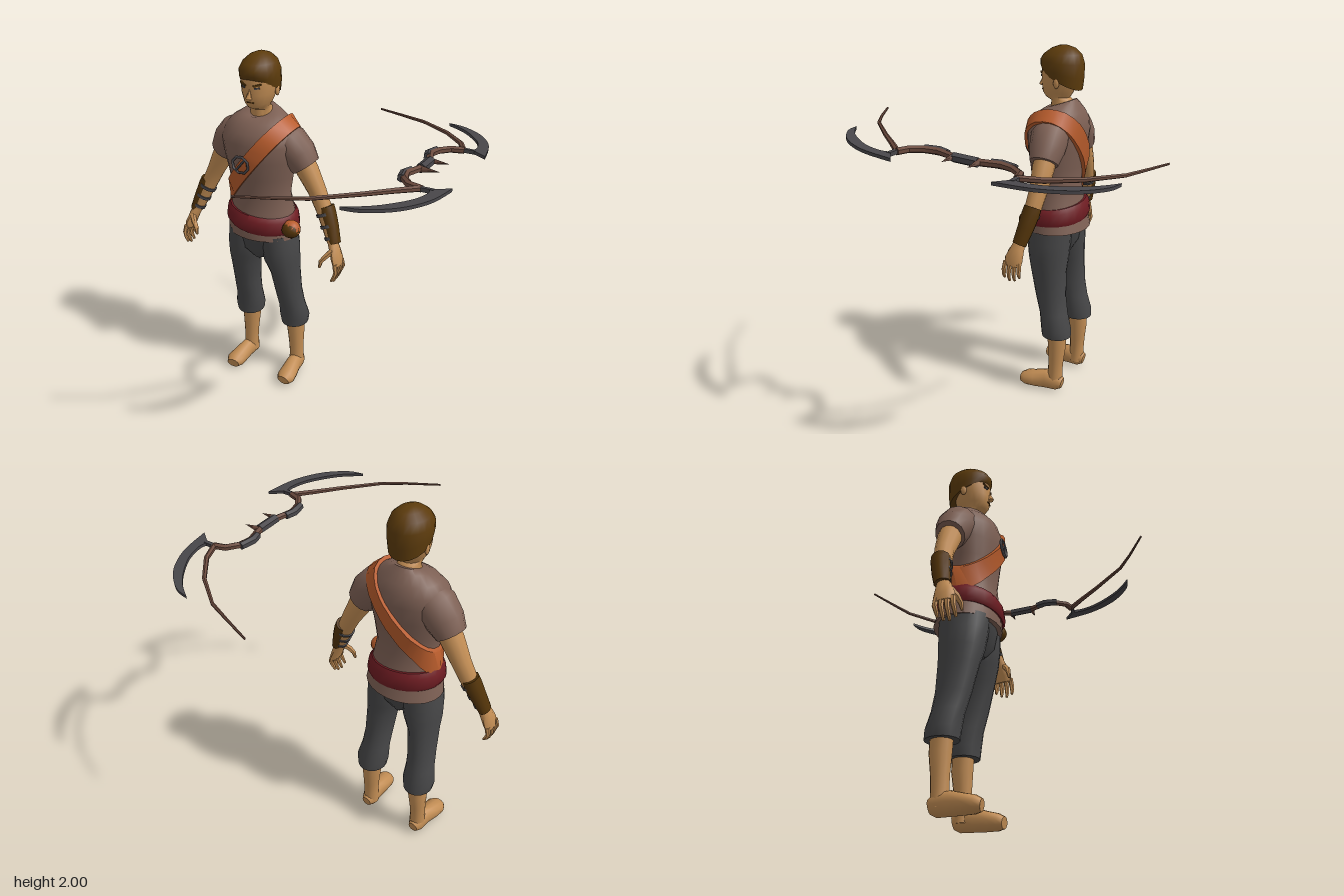
import * as THREE from 'three';
import { toCreasedNormals } from 'three/addons/utils/BufferGeometryUtils.js';

const mat = (name, color) => Object.assign(new THREE.MeshStandardMaterial({ color }), { name });
const M = {
  skin: mat('skin', 0xc28d54), hair: mat('hair brown', 0x5c3b0c), shirt: mat('shirt brown', 0x7d6054),
  strap: mat('orange leather', 0xb85c2c), sash: mat('sash red', 0x6e1c22), cloth: mat('trouser grey', 0x474748),
  leather: mat('dark leather', 0x533409), metal: mat('dark metal', 0x48464a), wood: mat('bow wood', 0x6b4a3d),
};
const V = (x, y, z) => new THREE.Vector3(x, y, z);

function add(parent, name, geo, material, pos = [0, 0, 0], rot = [0, 0, 0], scale = [1, 1, 1]) {
  const m = new THREE.Mesh(geo, material);
  m.name = name;
  m.position.set(...pos); m.rotation.set(...rot); m.scale.set(...scale);
  parent.add(m);
  return m;
}

// Skins a list of point rings; closed joins the last ring to the first
function loft(rings, closed = false, crease = 0.95) {
  const n = rings[0].length, count = rings.length, pts = rings.flat(), idx = [];
  for (let i = 0; i < (closed ? count : count - 1); i++) for (let j = 0; j < n; j++) {
    const k = (j + 1) % n, u = ((i + 1) % count) * n, a = i * n + j, b = i * n + k;
    idx.push(a, u + j, b, b, u + j, u + k);
  }
  if (!closed) [0, count - 1].forEach((r) => {
    const c = pts.length;
    pts.push(rings[r].reduce((s, p) => s.add(p), V(0, 0, 0)).divideScalar(n));
    for (let j = 0; j < n; j++) {
      const a = r * n + j, b = r * n + (j + 1) % n;
      r ? idx.push(c, b, a) : idx.push(c, a, b);
    }
  });
  const g = new THREE.BufferGeometry().setFromPoints(pts);
  g.setIndex(idx);
  return toCreasedNormals(g, crease);
}

// Upright form: rows [x, y, z, rx, rz, frontTilt, sideTilt], bottom to top
function stack(rows, n = 20) {
  return loft(rows.map(([x, y, z, rx, rz, ft = 0, st = 0]) => Array.from({ length: n }, (_, j) => {
    const a = j / n * Math.PI * 2, c = Math.cos(a), s = Math.sin(a);
    return V(x + rx * c, y + ft * s + st * c, z + rz * s);
  })));
}

// Bent limb: rows [x, y, z, radius along ref, other radius]
function limb(rows, ref, n = 10, crease = 0.95) {
  const P = rows.map((r) => V(r[0], r[1], r[2]));
  return loft(rows.map((r, i) => {
    const T = P[Math.min(i + 1, P.length - 1)].clone().sub(P[Math.max(i - 1, 0)]).normalize();
    const N = ref.clone().addScaledVector(T, -ref.dot(T)).normalize();
    const B = N.clone().cross(T);
    return Array.from({ length: n }, (_, j) => {
      const a = j / n * Math.PI * 2;
      return P[i].clone().addScaledVector(N, r[3] * Math.cos(a)).addScaledVector(B, (r[4] ?? r[3]) * Math.sin(a));
    });
  }), false, crease);
}

const torso = [
  [0, 0.99, -0.08, 0.215, 0.172], [0, 1.08, -0.07, 0.2, 0.16], [0, 1.15, -0.07, 0.183, 0.145],
  [0, 1.24, -0.063, 0.17, 0.13], [0, 1.35, -0.063, 0.187, 0.142], [0, 1.45, -0.065, 0.21, 0.156],
  [0, 1.54, -0.07, 0.225, 0.162], [0, 1.6, -0.077, 0.21, 0.15], [0, 1.65, -0.088, 0.165, 0.12],
  [0, 1.685, -0.092, 0.11, 0.088, -0.012], [0, 1.695, -0.09, 0.075, 0.075, -0.025],
];

function insideTorso(p) {
  for (let i = 0; i < torso.length - 1; i++) {
    const a = torso[i], b = torso[i + 1];
    if (p.y < a[1] || p.y > b[1]) continue;
    const [, , z, rx, rz] = a.map((v, k) => THREE.MathUtils.lerp(v, b[k] ?? 0, (p.y - a[1]) / (b[1] - a[1])));
    return (p.x / rx) ** 2 + ((p.z - z) / rz) ** 2 < 1;
  }
  return false;
}

// Shoulder strap: a slanted band that hugs the torso
function strapGeometry() {
  const U = V(0.63, 0.776, 0), W = V(-0.776, 0.63, 0), rings = [];
  for (let i = 0; i < 36; i++) {
    const a = i / 36 * Math.PI * 2;
    const dir = U.clone().multiplyScalar(Math.cos(a)).add(V(0, 0, Math.sin(a)));
    const at = (w, extra) => {
      const c = V(0, 1.43, -0.07).addScaledVector(W, w);
      let s = 0;
      while (s < 0.5 && insideTorso(c.clone().addScaledVector(dir, s))) s += 0.003;
      return c.addScaledVector(dir, s + extra);
    };
    rings.push([at(0.042, 0.02), at(-0.042, 0.02), at(-0.042, -0.008), at(0.042, -0.008)]);
  }
  return loft(rings, true, 0.7);
}

function buildHead(g) {
  add(g, 'head', stack([
    [0, 1.58, -0.09, 0.075, 0.065], [0, 1.66, -0.09, 0.066, 0.066], [0, 1.71, -0.085, 0.056, 0.06],
    [0, 1.725, -0.06, 0.055, 0.068], [0, 1.75, -0.06, 0.071, 0.085], [0, 1.8, -0.07, 0.09, 0.1],
    [0, 1.85, -0.077, 0.098, 0.107], [0, 1.9, -0.08, 0.1, 0.108], [0, 1.95, -0.08, 0.08, 0.09],
  ]), M.skin);
  add(g, 'hair', stack([
    [0, 1.822, -0.085, 0.1, 0.112, 0.055], [0, 1.865, -0.083, 0.106, 0.121, 0.035],
    [0, 1.915, -0.083, 0.105, 0.123, 0.01], [0, 1.955, -0.085, 0.088, 0.105],
    [0, 1.985, -0.09, 0.055, 0.068], [0, 2, -0.09, 0.02, 0.025],
  ]), M.hair);
  add(g, 'nose', new THREE.ConeGeometry(0.018, 0.06, 5), M.skin, [0, 1.812, 0.031], [-0.2, 0, 0]);
  add(g, 'mouth', new THREE.BoxGeometry(0.04, 0.005, 0.006), M.leather, [0, 1.762, 0.026]);
  for (const s of [-1, 1]) {
    add(g, 'brow', new THREE.BoxGeometry(0.045, 0.009, 0.008), M.hair, [s * 0.042, 1.856, 0.021], [0, s * 0.4, s * 0.25]);
    add(g, 'eye', new THREE.BoxGeometry(0.028, 0.008, 0.008), M.metal, [s * 0.04, 1.84, 0.02], [0, s * 0.4, s * 0.1]);
    add(g, 'ear', new THREE.SphereGeometry(0.022, 8, 6), M.skin, [s * 0.095, 1.81, -0.09], [0, 0, 0], [0.5, 1.3, 0.8]);
  }
}

function buildArm(g, s) {
  const Z = V(0, 0, 1), side = (rows) => rows.map(([x, ...r]) => [s * x, ...r]);
  const part = (name, rows, m, n) => add(g, name, limb(side(rows), Z, n), m);
  part('sleeve', [[0.09, 1.57, -0.085, 0.09, 0.08], [0.165, 1.535, -0.09, 0.105, 0.1], [0.215, 1.475, -0.097, 0.095, 0.1],
    [0.258, 1.415, -0.1, 0.078, 0.08]], M.shirt, 14);
  part('arm', [[0.21, 1.48, -0.1, 0.06, 0.06], [0.265, 1.39, -0.102, 0.06, 0.062], [0.325, 1.28, -0.102, 0.05, 0.05],
    [0.372, 1.185, -0.092, 0.045, 0.045], [0.41, 1.1, -0.075, 0.04, 0.038], [0.442, 1.02, -0.055, 0.032, 0.028]], M.skin, 12);
  part('bracer', [[0.38, 1.205, -0.098, 0.048, 0.044], [0.395, 1.17, -0.092, 0.05, 0.044], [0.425, 1.1, -0.078, 0.046, 0.038],
    [0.458, 1.015, -0.057, 0.04, 0.03]], M.leather, 12);
  for (const t of [0.12, 0.48, 0.84]) {
    const x = 0.37 + 0.072 * t, y = 1.19 - 0.165 * t, z = -0.093 + 0.037 * t, r = 0.053 - 0.016 * t;
    part('bracerBand', [[x, y, z, r, r], [x + 0.007, y - 0.015, z + 0.003, r, r]], M.metal, 12);
  }
  part('palm', [[0.438, 1.035, -0.057, 0.03, 0.027], [0.462, 0.985, -0.046, 0.042, 0.028], [0.482, 0.935, -0.036, 0.053, 0.025],
    [0.49, 0.9, -0.032, 0.048, 0.018]], M.skin);
  for (let i = 0; i < 4; i++) {
    const z = -0.072 + i * 0.027, l = [0.075, 0.095, 0.1, 0.085][i];
    part('finger', [[0.49, 0.92, z, 0.014], [0.5, 0.905 - l * 0.35, z * 1.1 + 0.005, 0.013],
      [0.49, 0.905 - l * 0.7, z * 1.1 + 0.01, 0.011], [0.475, 0.905 - l, z * 1.1 + 0.012, 0.007]], M.skin, 6);
  }
  part('thumb', [[0.46, 0.985, -0.02, 0.018], [0.432, 0.955, 0.008, 0.016], [0.41, 0.925, 0.02, 0.013], [0.405, 0.89, 0.026, 0.007]], M.skin, 6);
}

function buildLeg(g, s) {
  const side = (rows) => rows.map(([x, ...r]) => [s * x, ...r]);
  add(g, 'trouserLeg', stack(side([
    [0.155, 0.36, -0.145, 0.08, 0.086], [0.155, 0.41, -0.141, 0.09, 0.086], [0.148, 0.5, -0.122, 0.077, 0.082],
    [0.141, 0.6, -0.1, 0.074, 0.09], [0.132, 0.75, -0.08, 0.08, 0.106], [0.117, 0.83, -0.072, 0.1, 0.118],
    [0.107, 0.92, -0.068, 0.108, 0.127], [0.1, 1.01, -0.068, 0.1, 0.13]]), 16), M.cloth);
  add(g, 'shin', stack(side([
    [0.163, 0.04, -0.145, 0.045, 0.045], [0.163, 0.13, -0.145, 0.042, 0.043], [0.161, 0.2, -0.147, 0.045, 0.046],
    [0.157, 0.3, -0.15, 0.053, 0.055], [0.155, 0.42, -0.145, 0.056, 0.056]]), 14), M.skin);
  add(g, 'foot', limb(side([
    [0.165, 0.05, -0.192, 0.028, 0.034], [0.165, 0.056, -0.16, 0.044, 0.056], [0.17, 0.06, -0.09, 0.045, 0.06],
    [0.178, 0.05, -0.02, 0.053, 0.05], [0.182, 0.045, 0.03, 0.056, 0.043], [0.18, 0.04, 0.06, 0.04, 0.03]]), V(1, 0, 0), 12), M.skin);
}

function buildBow(bow) {
  const Y = V(0, 1, 0), mid = -0.035;
  const rod = (name, rows, m) => add(bow, name, limb(rows, Y, 6, 0.6), m);
  // Long tapering limbs
  const limbs = [
    [[0.06, -0.815], [0.21, -0.765], [0.365, -0.71], [0.545, -0.585], [0.665, -0.45], [0.712, -0.345]],
    [[0.06, 0.808], [0.23, 0.722], [0.35, 0.65], [0.52, 0.48], [0.62, 0.37], [0.712, 0.275]],
  ];
  for (const pts of limbs) rod('bowLimb', pts.map(([x, z], i) => [x, 0, z, 0.006 + i * 0.002, 0.005 + i * 0.0022]), M.wood);
  // Curled riser
  const half = [[0.715, -0.312], [0.65, -0.292], [0.605, -0.235], [0.588, -0.165], [0.612, -0.085], [0.628, 0]];
  const full = [...half, ...half.slice(0, -1).reverse().map(([x, z]) => [x, -z])];
  rod('riser', full.map(([x, z]) => [x, 0, mid + z, 0.018, 0.019]), M.wood);
  rod('grip', [[0.622, 0, mid - 0.065, 0.024, 0.027], [0.622, 0, mid + 0.065, 0.024, 0.027]], M.metal);
  // Crescent blades, wraps and spikes on both ends
  for (const s of [-1, 1]) {
    const P = (x, z) => new THREE.Vector2(x, mid - s * z);
    const shape = new THREE.Shape();
    const tip = P(0.505, -0.707);
    shape.moveTo(tip.x, tip.y);
    shape.splineThru([P(0.6, -0.685), P(0.72, -0.59), P(0.805, -0.44), P(0.84, -0.255)]);
    shape.lineTo(...P(0.755, -0.315));
    shape.splineThru([P(0.765, -0.37), P(0.735, -0.47), P(0.66, -0.58), P(0.59, -0.65), tip]);
    const blade = new THREE.ExtrudeGeometry(shape, { depth: 0.016, bevelEnabled: false, curveSegments: 5 });
    add(bow, 'blade', blade.rotateX(Math.PI / 2).translate(0, 0.008, 0), M.metal);
    add(bow, 'bladeMount', new THREE.BoxGeometry(0.08, 0.02, 0.02), M.metal, [0.735, 0, mid + s * 0.315]);
    rod('riserWrap', [[0.592, 0, mid + s * 0.24, 0.021, 0.021], [0.578, 0, mid + s * 0.165, 0.023, 0.023],
      [0.59, 0, mid + s * 0.115, 0.021, 0.021]], M.metal);
    add(bow, 'spike', new THREE.ConeGeometry(0.018, 0.1, 5), M.wood, [0.67, 0, mid + s * 0.067], [0, 0, -Math.PI / 2]);
  }
}

export function createModel() {
  const root = new THREE.Group();
  const man = new THREE.Group();
  man.name = 'archer';
  man.position.x = -0.32;
  root.add(man);

  buildHead(man);
  add(man, 'shirt', stack(torso, 24), M.shirt);
  add(man, 'sash', stack([[0, 1.045, -0.072, 0.204, 0.17, -0.008, -0.018], [0, 1.065, -0.07, 0.215, 0.179, -0.008, -0.018],
    [0, 1.12, -0.07, 0.207, 0.172, -0.008, -0.018], [0, 1.145, -0.07, 0.192, 0.156, -0.008, -0.018]], 24), M.sash);
  add(man, 'hips', stack([[0, 0.835, -0.07, 0.04, 0.08], [0, 0.9, -0.068, 0.16, 0.12], [0, 1.02, -0.068, 0.2, 0.14]]), M.cloth);
  for (const s of [-1, 1]) { buildArm(man, s); buildLeg(man, s); }

  add(man, 'shoulderStrap', strapGeometry(), M.strap);
  // Buckle frame with its pin
  const buckle = new THREE.Group();
  buckle.name = 'buckle';
  buckle.position.set(-0.02, 1.445, 0.115);
  buckle.rotation.set(-0.1, 0, 0.89);
  man.add(buckle);
  add(buckle, 'buckleFrame', new THREE.TorusGeometry(0.05, 0.008, 5, 8), M.metal, [0, 0, 0], [0, 0, Math.PI / 8], [0.9, 1, 1]);
  add(buckle, 'bucklePin', new THREE.BoxGeometry(0.08, 0.01, 0.012), M.metal);

  // Hip pouch with a flap over its top and outer side
  add(man, 'pouch', new THREE.SphereGeometry(0.05, 10, 8), M.leather, [0.222, 1.072, 0.012], [0, 0, 0], [1.05, 0.95, 1]);
  add(man, 'pouchFlap', new THREE.SphereGeometry(0.053, 10, 5, 0, Math.PI * 2, 0, Math.PI * 0.42), M.strap,
    [0.222, 1.072, 0.008], [-0.25, 0, -0.55], [1, 0.98, 0.95]).material.side = THREE.DoubleSide;

  const bow = new THREE.Group();
  bow.name = 'bow';
  bow.position.y = 1.59;
  bow.rotation.x = -0.075;
  root.add(bow);
  buildBow(bow);
  return root;
}
